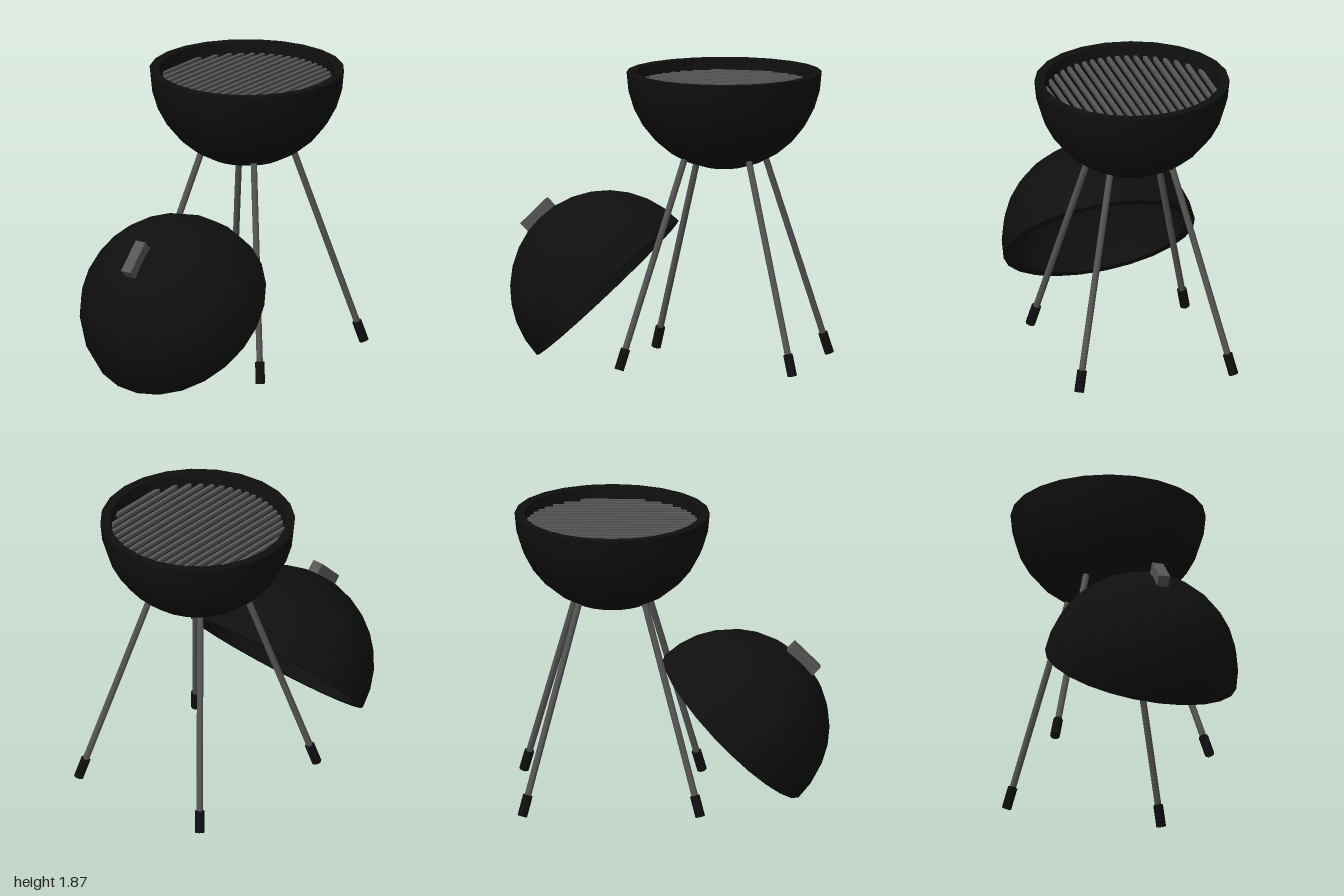
import * as THREE from 'three';
import { toCreasedNormals } from 'three/addons/utils/BufferGeometryUtils.js';

const black = new THREE.MeshStandardMaterial({ color: 0x0f0f0f });
const grey = new THREE.MeshStandardMaterial({ color: 0x555555 });

const R = 0.62, INNER = 0.56, BOWL_Y = 1.87, BOWL_Z = -0.38;

function mesh(name, geometry, material) {
  const m = new THREE.Mesh(geometry, material);
  m.name = name;
  return m;
}

// Hollow half sphere with its opening facing up at y = 0
function shell(name) {
  const points = [];
  const steps = 8;
  for (let i = 0; i <= steps; i++) {
    const a = (i / steps) * Math.PI / 2;
    points.push(new THREE.Vector2(R * Math.sin(a), -R * Math.cos(a)));
  }
  for (let i = steps; i >= 0; i--) {
    const a = (i / steps) * Math.PI / 2;
    points.push(new THREE.Vector2(INNER * Math.sin(a), -INNER * Math.cos(a)));
  }
  return mesh(name, toCreasedNormals(new THREE.LatheGeometry(points, 24), 0.6), black);
}

// Round rod between two points
function rod(name, a, b, radius, material) {
  const m = mesh(name, new THREE.CylinderGeometry(radius, radius, a.distanceTo(b), 10), material);
  m.position.copy(a).add(b).multiplyScalar(0.5);
  m.quaternion.setFromUnitVectors(new THREE.Vector3(0, 1, 0), b.clone().sub(a).normalize());
  return m;
}

export function createModel() {
  const model = new THREE.Group();
  model.name = 'kettleGrill';

  // Bowl and cooking grate
  const body = new THREE.Group();
  body.name = 'body';
  body.position.set(0, BOWL_Y, BOWL_Z);
  body.add(shell('bowl'));
  const grate = new THREE.Group();
  grate.name = 'grate';
  for (let i = -9; i <= 9; i++) {
    const x = i * 0.0567;
    const length = 2 * Math.sqrt(0.55 ** 2 - x * x);
    const bar = mesh('grateBar', new THREE.BoxGeometry(0.024, 0.024, length), grey);
    bar.position.set(x, -0.08, 0);
    grate.add(bar);
  }
  body.add(grate);
  model.add(body);

  // Four splayed legs with dark feet
  for (const sx of [-1, 1]) {
    for (const sz of [-1, 1]) {
      const top = new THREE.Vector3(sx * 0.205, 1.33, BOWL_Z + sz * 0.21);
      const bottom = new THREE.Vector3(sx * 0.51, 0.01, BOWL_Z + sz * 0.565);
      model.add(rod('leg', bottom, top, 0.021, grey));
      model.add(rod('foot', bottom, bottom.clone().lerp(top, 0.1), 0.031, black));
    }
  }

  // Lid leaning against the legs, dome up and forward
  const lid = new THREE.Group();
  lid.name = 'lid';
  lid.position.set(0, 0.455, 0.38);
  lid.rotation.x = -Math.PI * 0.75;
  lid.add(shell('lidDome'));
  const handle = mesh('lidHandle', new THREE.BoxGeometry(0.075, 0.09, 0.23), grey);
  handle.position.y = -0.635;
  lid.add(handle);
  model.add(lid);

  return model;
}
